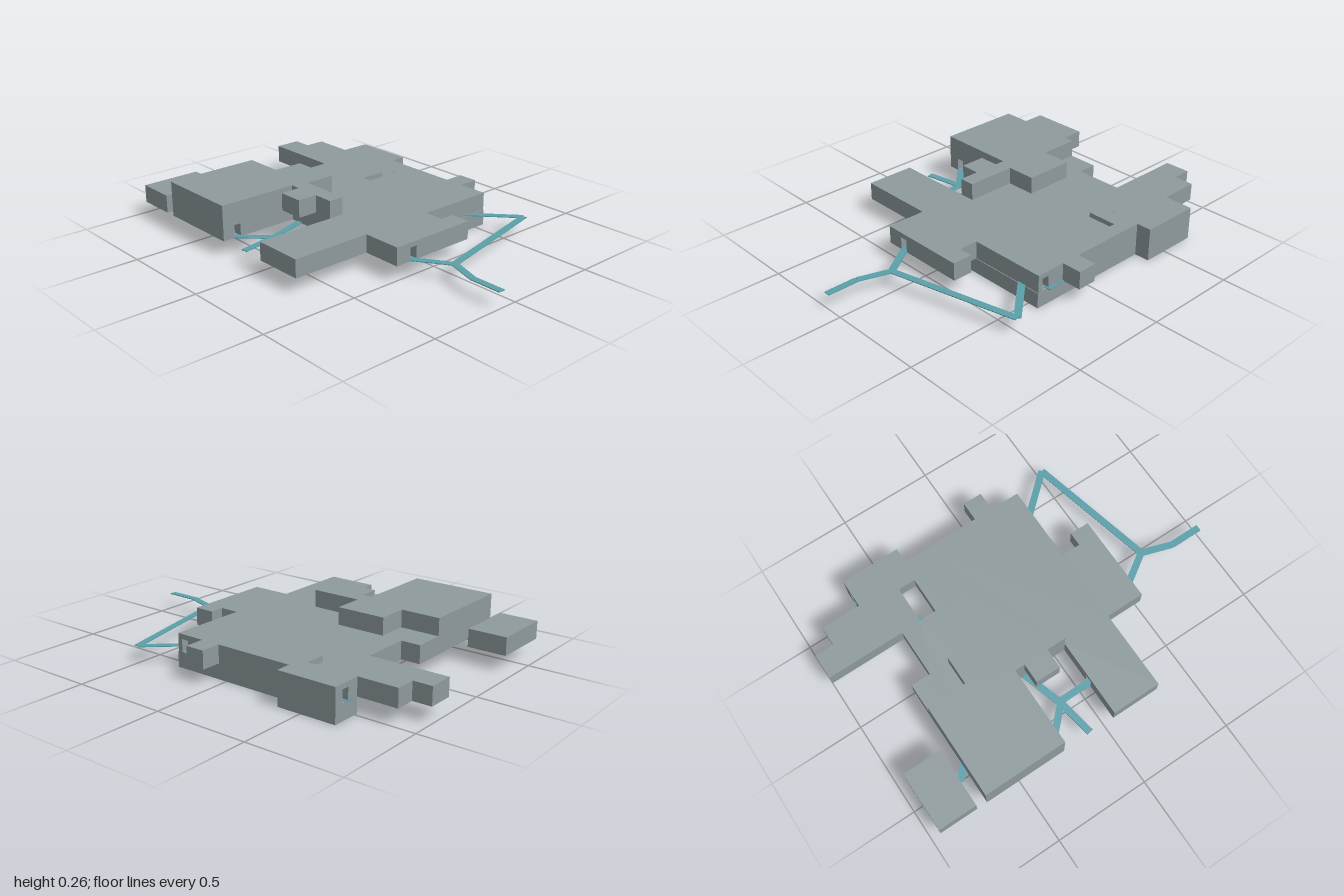
import * as THREE from 'three';

export function createModel() {
  const model = new THREE.Group();
  const stone = new THREE.MeshStandardMaterial({ color: 0x8f9b9e });
  stone.name = 'stoneGrey';
  const teal = new THREE.MeshStandardMaterial({ color: 0x5aa0aa });
  teal.name = 'pathTeal';

  // Extrude a floor-plan outline of [x, z] points between two heights
  function slab(name, outline, y0, y1, holes = []) {
    const toV = ([x, z]) => new THREE.Vector2(x, -z);
    const shape = new THREE.Shape(outline.map(toV));
    holes.forEach(([x0, z0, x1, z1]) => shape.holes.push(
      new THREE.Path([[x0, z0], [x1, z0], [x1, z1], [x0, z1]].map(toV))));
    const geo = new THREE.ExtrudeGeometry(shape, { depth: y1 - y0, bevelEnabled: false });
    geo.rotateX(-Math.PI / 2).translate(0, y0, 0);
    const mesh = new THREE.Mesh(geo, stone);
    mesh.name = name;
    model.add(mesh);
  }

  // Doorway recess cut into a wall running along x; dir is the walking direction
  const W = 0.02, D = 0.05;
  const doorX = (x, z, dir, inward) => [
    [x - dir * W, z], [x - dir * W, z + inward * D], [x + dir * W, z + inward * D], [x + dir * W, z]];

  // Middle storey plan, with or without doorways
  const plan = (doors) => {
    const d = (points) => (doors ? points : []);
    return [
      [-0.67, -0.69], [-0.01, -0.69], [-0.01, -0.586], [0.245, -0.586], [0.245, -1], [0.38, -1],
      [0.38, -0.9], [0.485, -0.9], [0.485, -0.69], ...d(doorX(0.57, -0.69, 1, 1)),
      [0.64, -0.69], [0.64, -0.375], [0.56, -0.375], [0.56, 0.044], [0.665, 0.044],
      [0.665, 0.147], [0.56, 0.147],
      ...d([[0.56, 0.24], [0.51, 0.24], [0.51, 0.28], [0.56, 0.28]]),
      [0.56, 0.304], [0.145, 0.304], [0.145, 0.405], [0.22, 0.405], [0.22, 0.51],
      ...d(doorX(-0.145, 0.51, -1, -1)), [-0.25, 0.51], [-0.25, 0.304],
      [-0.67, 0.304], [-0.67, 0.044], ...d(doorX(-0.455, 0.044, 1, 1)),
      [-0.25, 0.044], [-0.25, -0.247], ...d(doorX(-0.59, -0.247, -1, -1)), [-0.67, -0.247],
    ];
  };
  const courtyards = [[0.25, -0.48, 0.485, -0.378], [0.25, -0.326, 0.485, -0.22]];
  slab('middleFloor', plan(false), 0.08, 0.083, courtyards);
  slab('middleWalls', plan(true), 0.083, 0.147, courtyards);
  slab('middleRoof', plan(false), 0.147, 0.173, courtyards);

  // Lowest storey
  slab('lowerStorey', [
    [0.64, -0.69], [0.64, -0.375], [0.56, -0.375], [0.56, 0.308], [-0.013, 0.308],
    [-0.013, -0.326], [0.25, -0.326], [0.25, -0.378], [0.485, -0.378], [0.485, -0.69],
  ], 0, 0.08);

  // Top storey
  slab('upperStorey', [
    [-0.67, -0.69], [-0.17, -0.69], [-0.17, -0.48], [-0.013, -0.48], [-0.013, -0.22],
    [-0.17, -0.22], [-0.17, 0.044], [-0.25, 0.044], [-0.25, -0.061], [-0.355, -0.061],
    [-0.355, -0.194], [-0.25, -0.194], [-0.25, -0.247], [-0.67, -0.247],
  ], 0.173, 0.263);

  // Detached room behind
  slab('outbuilding', [[-0.67, -0.95], [-0.355, -0.95], [-0.355, -0.745], [-0.67, -0.745]], 0.08, 0.173);

  // Flat paths linking the doorways
  const paths = [
    [[-0.165, 0.48], [-0.04, 0.67], [-0.092, 0.83], [-0.092, 1]],
    [[-0.04, 0.67], [0.635, 0.51], [0.43, 0.28]],
    [[0.55, 0.14], [0.56, 0.25]],
    [[-0.6, -0.26], [-0.465, -0.125]],
    [[-0.665, -0.09], [-0.47, -0.125], [-0.24, -0.195]],
    [[-0.457, -0.12], [-0.457, 0.07]],
    [[-0.515, -0.74], [-0.44, -0.67]],
    [[0.23, -0.43], [0.32, -0.5]],
    [[0.55, -0.695], [0.54, -0.66]],
  ];
  paths.forEach((pts) => {
    for (let i = 0; i < pts.length - 1; i++) {
      const [ax, az] = pts[i], [bx, bz] = pts[i + 1];
      const geo = new THREE.BoxGeometry(Math.hypot(bx - ax, bz - az), 0.004, 0.036);
      const mesh = new THREE.Mesh(geo, teal);
      mesh.position.set((ax + bx) / 2, 0.083, (az + bz) / 2);
      mesh.rotation.y = -Math.atan2(bz - az, bx - ax);
      mesh.name = 'path';
      model.add(mesh);
    }
  });
  return model;
}
